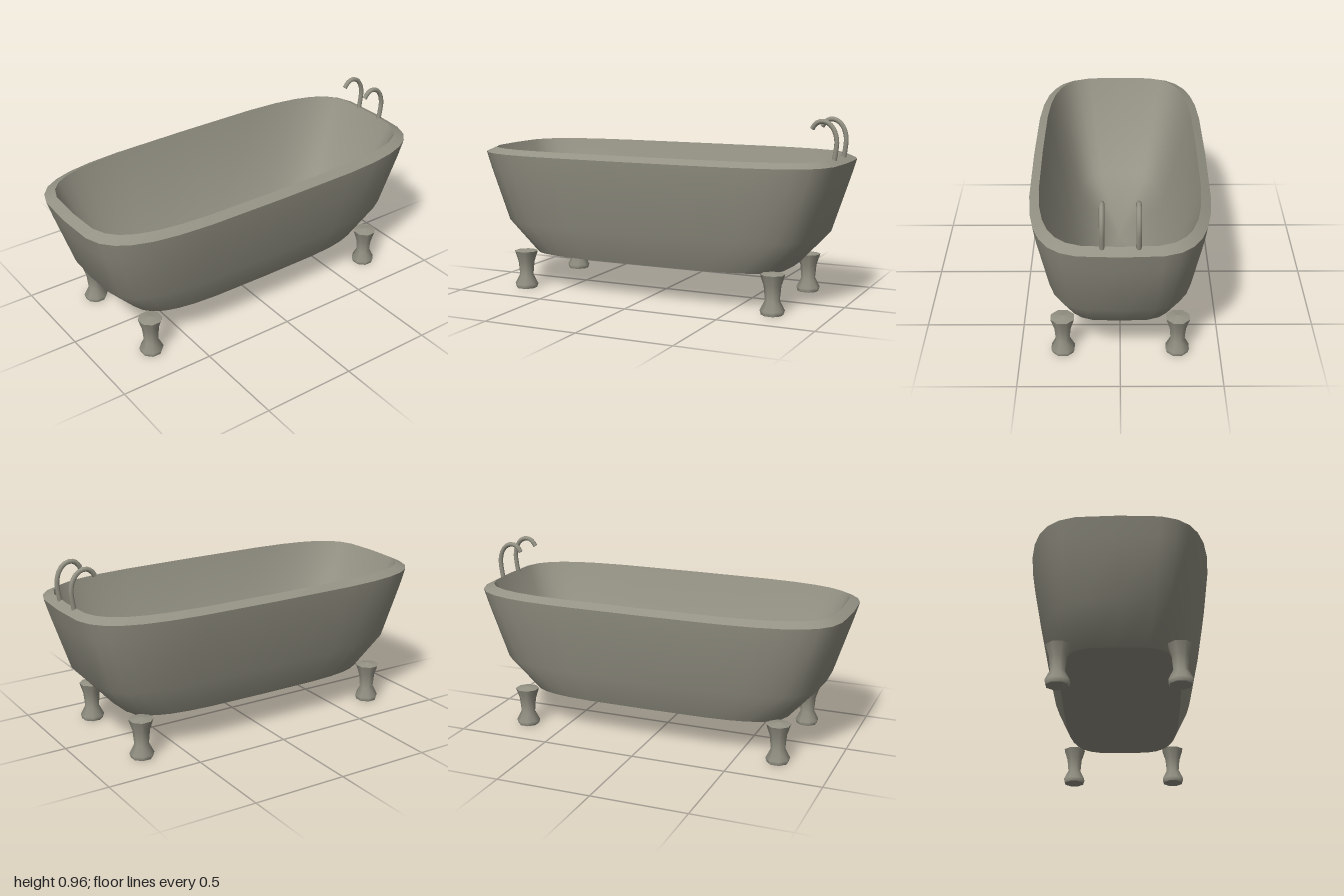
import * as THREE from 'three';

const SEGMENTS = 32;

// Skin through rounded-rectangle rings, each row being [half length, half width, height]
function ringSkin(rows) {
  const positions = [], indices = [];
  const soften = v => Math.sign(v) * Math.sqrt(Math.abs(v));
  for (const [rx, rz, y] of rows) {
    for (let i = 0; i < SEGMENTS; i++) {
      const t = (i / SEGMENTS) * Math.PI * 2;
      positions.push(rx * soften(Math.cos(t)), y, rz * soften(Math.sin(t)));
    }
  }
  for (let j = 0; j < rows.length - 1; j++) {
    for (let i = 0; i < SEGMENTS; i++) {
      const a = j * SEGMENTS + i, next = j * SEGMENTS + (i + 1) % SEGMENTS;
      const up = a + SEGMENTS, upNext = next + SEGMENTS;
      indices.push(a, up, next, next, up, upNext);
    }
  }
  const geometry = new THREE.BufferGeometry();
  geometry.setAttribute('position', new THREE.Float32BufferAttribute(positions, 3));
  geometry.setIndex(indices);
  geometry.computeVertexNormals();
  return geometry;
}

// Octagonal turned piece with its flats facing the axes
function octagonal(profile) {
  const points = profile.map(([r, y]) => new THREE.Vector2(r, y));
  return new THREE.LatheGeometry(points, 8, Math.PI / 8);
}

export function createModel() {
  const model = new THREE.Group();
  model.name = 'bathtub';
  const enamel = new THREE.MeshStandardMaterial({ color: 0x949284 });
  enamel.name = 'warm grey';

  const add = (name, geometry, parent = model) => {
    const mesh = new THREE.Mesh(geometry, enamel);
    mesh.name = name;
    parent.add(mesh);
    return mesh;
  };

  // Tub: separate skins keep the rim edges sharp, the straight inner wall blends into the floor
  const base = [0.725, 0.31, 0.19], outerRim = [1, 0.452, 0.74];
  const innerRim = [0.95, 0.405, 0.765], floorEdge = [0.71, 0.238, 0.24];
  const tub = new THREE.Group();
  tub.name = 'tub';
  model.add(tub);
  add('underside', ringSkin([[0, 0, 0.19], base]), tub);
  add('outerWall', ringSkin([base, [0.88, 0.382, 0.36], [0.973, 0.439, 0.65], outerRim]), tub);
  add('rim', ringSkin([outerRim, innerRim]), tub);
  add('innerWallAndFloor', ringSkin([innerRim, floorEdge, [0, 0, 0.24]]), tub);

  // Four waisted octagonal feet
  const footSides = octagonal([
    [0.056, 0], [0.063, 0.022], [0.037, 0.073], [0.044, 0.145], [0.063, 0.204],
  ]);
  const footTop = octagonal([[0.063, 0.204], [0, 0.215]]);
  const footSole = octagonal([[0, 0], [0.056, 0]]);
  for (const x of [-1, 1]) {
    for (const z of [-1, 1]) {
      const foot = new THREE.Group();
      foot.name = `${z > 0 ? 'front' : 'back'}${x > 0 ? 'Left' : 'Right'}Foot`;
      foot.position.set(x * 0.713, 0, z * 0.287);
      model.add(foot);
      add('footSides', footSides, foot);
      add('footTop', footTop, foot);
      add('footSole', footSole, foot);
    }
  }

  // Pair of hooked taps on one end of the rim
  const path = new THREE.CatmullRomCurve3([
    [0.951, 0.75], [0.959, 0.8], [0.963, 0.855], [0.95, 0.905],
    [0.922, 0.939], [0.886, 0.95], [0.856, 0.938], [0.836, 0.911],
  ].map(([x, y]) => new THREE.Vector3(x, y, 0)));
  const spout = new THREE.TubeGeometry(path, 16, 0.0125, 8);
  const mouth = new THREE.CircleGeometry(0.0125, 8);
  const direction = path.getTangent(1);
  for (const side of [-1, 1]) {
    const tap = new THREE.Group();
    tap.name = side > 0 ? 'frontTap' : 'backTap';
    tap.position.z = side * 0.084;
    model.add(tap);
    add('spout', spout, tap);
    const end = add('spoutMouth', mouth, tap);
    end.position.copy(path.getPoint(1));
    end.quaternion.setFromUnitVectors(new THREE.Vector3(0, 0, 1), direction);
  }
  return model;
}
